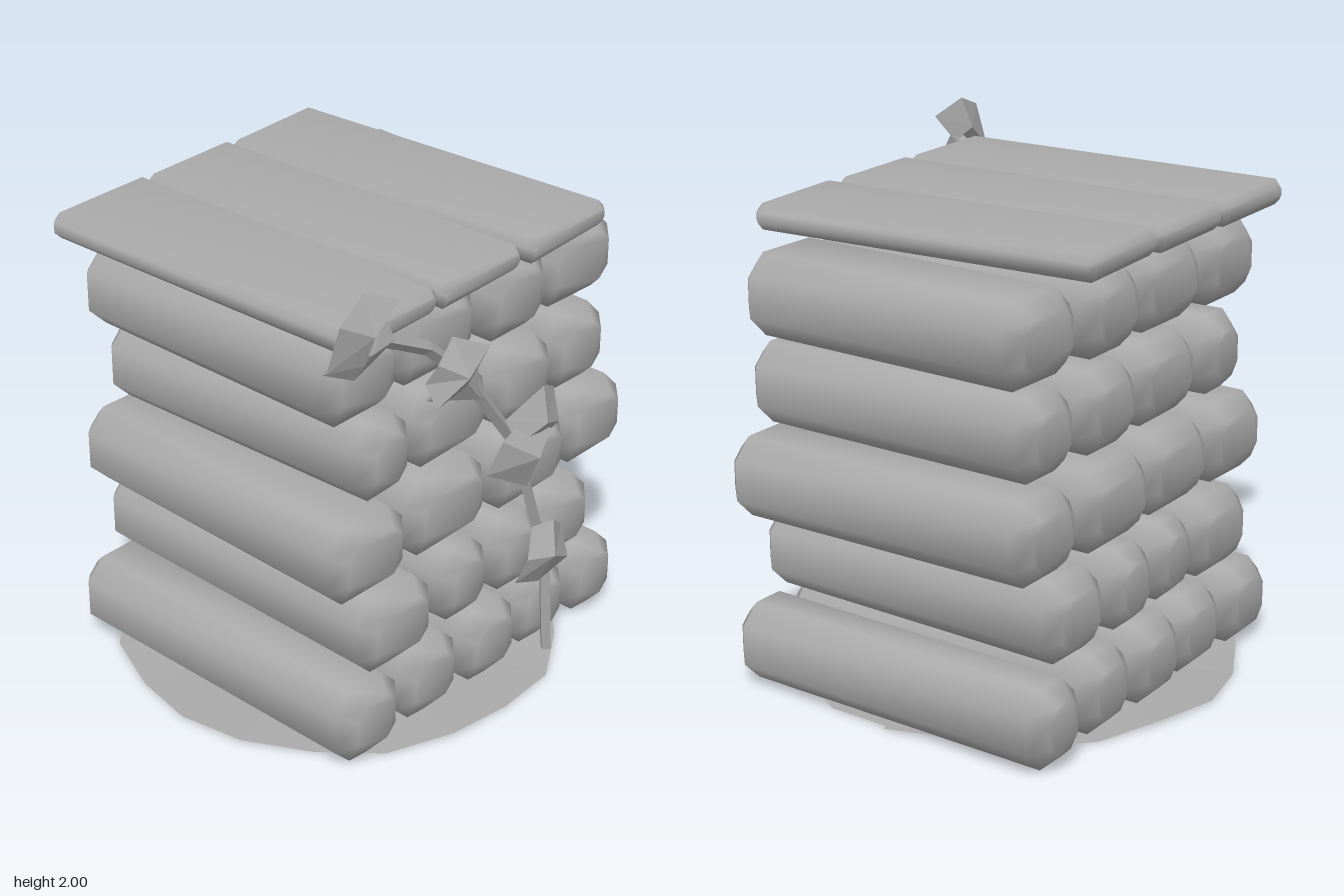
import * as THREE from 'three';
import { mergeVertices } from 'three/addons/utils/BufferGeometryUtils.js';

const paint = (name, color, extra = {}) => {
  const m = new THREE.MeshStandardMaterial({ color, ...extra });
  m.name = name;
  return m;
};

// Long block along z with chamfered edges and ends, smoothly shaded
function softBlock(w, h, d, cut, endCut) {
  const x = w / 2, y = h / 2;
  const shape = new THREE.Shape([
    [x - cut, -y], [x, -y + cut], [x, y - cut], [x - cut, y],
    [-x + cut, y], [-x, y - cut], [-x, -y + cut], [-x + cut, -y],
  ].map(p => new THREE.Vector2(...p)));
  let g = new THREE.ExtrudeGeometry(shape, {
    depth: d - 2 * endCut, bevelEnabled: true, bevelSegments: 1,
    bevelThickness: endCut, bevelSize: endCut, bevelOffset: -endCut,
  });
  g.translate(0, 0, -d / 2 + endCut);
  g.deleteAttribute('uv');
  g.deleteAttribute('normal');
  g = mergeVertices(g, 1e-4);
  g.computeVertexNormals();
  return g;
}

// Faceted leaf: an outline at mid depth, with a front and a back point
function leafGeometry(outline, z, front, back) {
  const n = outline.length, pos = [];
  const cx = outline.reduce((s, p) => s + p[0], 0) / n;
  const cy = outline.reduce((s, p) => s + p[1], 0) / n;
  const rim = outline.map(([x, y], i) => [x, y, z + (i % 2 ? 0.02 : -0.02)]);
  for (let i = 0; i < n; i++) {
    const a = rim[i], b = rim[(i + 1) % n];
    pos.push(...b, ...a, cx, cy, front, ...a, ...b, cx, cy, back);
  }
  const g = new THREE.BufferGeometry();
  g.setAttribute('position', new THREE.Float32BufferAttribute(pos, 3));
  g.computeVertexNormals();
  return g;
}

export function createModel() {
  const model = new THREE.Group();
  const smooth = paint('grey', 0xaaaaaa);
  const faceted = paint('facetedGrey', 0xaaaaaa, { flatShading: true, side: THREE.DoubleSide });
  const add = (name, geo, mat, parent = model) => {
    const m = new THREE.Mesh(geo, mat);
    m.name = name;
    parent.add(m);
    return m;
  };

  // Stacked rows: centre height, front z, back z, then [left, right, turn] per block
  const rows = [
    [0.172, 0.70, -0.735, [[-0.755, -0.43, 0], [-0.415, -0.08, 0], [-0.085, 0.25, 0.005], [0.245, 0.57, 0.005], [0.57, 0.895, -0.025]]],
    [0.512, 0.70, -0.705, [[-0.645, -0.235, -0.015], [-0.245, 0.085, 0.03], [0.075, 0.375, 0.005], [0.345, 0.745, -0.035]]],
    [0.862, 0.68, -0.69, [[-0.775, -0.35, -0.025], [-0.355, 0.08, 0], [0.09, 0.53, 0.005], [0.54, 0.915, -0.005]]],
    [1.207, 0.65, -0.645, [[-0.655, -0.325, 0.035], [-0.335, 0.115, 0.02], [0.11, 0.465, 0], [0.475, 0.83, -0.02]]],
    [1.557, 0.625, -0.635, [[-0.755, -0.375, 0], [-0.375, 0.065, -0.01], [0.08, 0.445, 0.005], [0.44, 0.895, -0.035]]],
  ];
  rows.forEach(([y, front, back, blocks], r) => {
    const row = new THREE.Group();
    row.name = `blockRow${r + 1}`;
    model.add(row);
    blocks.forEach(([x0, x1, turn], i) => {
      const d = front - back - (i % 2) * 0.03;
      const w = x1 - x0 - d * Math.abs(Math.sin(turn));
      const b = add('block', softBlock(w, 0.312, d, 0.08, 0.06), smooth, row);
      b.position.set((x0 + x1) / 2, y, (front + back) / 2);
      b.rotation.y = turn;
    });
  });

  // Three roof planks, fanning slightly
  for (const [x, w, turn] of [[-0.55, 0.475, 0.02], [-0.09, 0.455, 0.027], [0.38, 0.475, 0.053]]) {
    const p = add('roofPlank', softBlock(w, 0.1, 1.43, 0.03, 0.025), smooth);
    p.position.set(x, 1.795, 0);
    p.rotation.y = turn;
  }

  // Climbing vine on the front
  const stem = [[0.385, 0.01, 0.72], [0.34, 0.45, 0.725], [0.25, 0.68, 0.735], [0.1, 1.08, 0.745], [-0.2, 1.48, 0.735], [-0.38, 1.65, 0.73], [-0.72, 1.83, 0.73]]
    .map(p => new THREE.Vector3(...p));
  const path = new THREE.CurvePath();
  for (let i = 1; i < stem.length; i++) path.add(new THREE.LineCurve3(stem[i - 1], stem[i]));
  add('vineStem', new THREE.TubeGeometry(path, 36, 0.026, 4, false), faceted);

  // Leaf clumps: outline (clockwise from the front), mid z, front z, back z
  const leaves = [
    [[[-0.91, 1.77], [-0.89, 1.945], [-0.73, 2.0], [-0.6, 1.94], [-0.68, 1.83], [-0.77, 1.76]], 0.77, 0.83, 0.72],
    [[[-0.89, 1.745], [-0.75, 1.83], [-0.6, 1.87], [-0.58, 1.77], [-0.74, 1.665]], 0.735, 0.78, 0.68],
    [[[-0.43, 1.54], [-0.41, 1.62], [-0.29, 1.67], [-0.13, 1.59], [-0.2, 1.44], [-0.41, 1.45]], 0.78, 0.86, 0.73],
    [[[-0.38, 1.44], [-0.3, 1.53], [-0.12, 1.56], [-0.13, 1.36]], 0.745, 0.79, 0.69],
    [[[0.03, 1.2], [0.2, 1.29], [0.31, 1.23], [0.3, 1.1], [0.18, 1.02], [0.06, 1.1]], 0.77, 0.83, 0.7],
    [[[-0.08, 1.02], [-0.04, 1.16], [0.12, 1.17], [0.24, 1.1], [0.23, 1.0], [0.11, 0.91]], 0.78, 0.865, 0.71],
    [[[0.13, 0.45], [0.15, 0.56], [0.22, 0.66], [0.3, 0.67], [0.4, 0.59], [0.4, 0.46], [0.27, 0.39]], 0.77, 0.83, 0.735],
  ];
  for (const [outline, z, front, back] of leaves) {
    add('vineLeaf', leafGeometry(outline, z, front, back), faceted);
  }

  // Thin, slightly uneven ground patch
  const patch = new THREE.CircleGeometry(0.87, 20);
  patch.rotateX(-Math.PI / 2);
  const pos = patch.attributes.position;
  for (let i = 0; i < pos.count; i++) {
    const k = 1 + 0.015 * Math.sin(i * 2.3);
    pos.setXYZ(i, pos.getX(i) * k - 0.025, i === 0 ? 0.015 : 0.01 + 0.009 * Math.sin((i - 1) * 0.6 * Math.PI), pos.getZ(i) * k - 0.01);
  }
  add('groundPatch', patch, faceted);
  return model;
}
